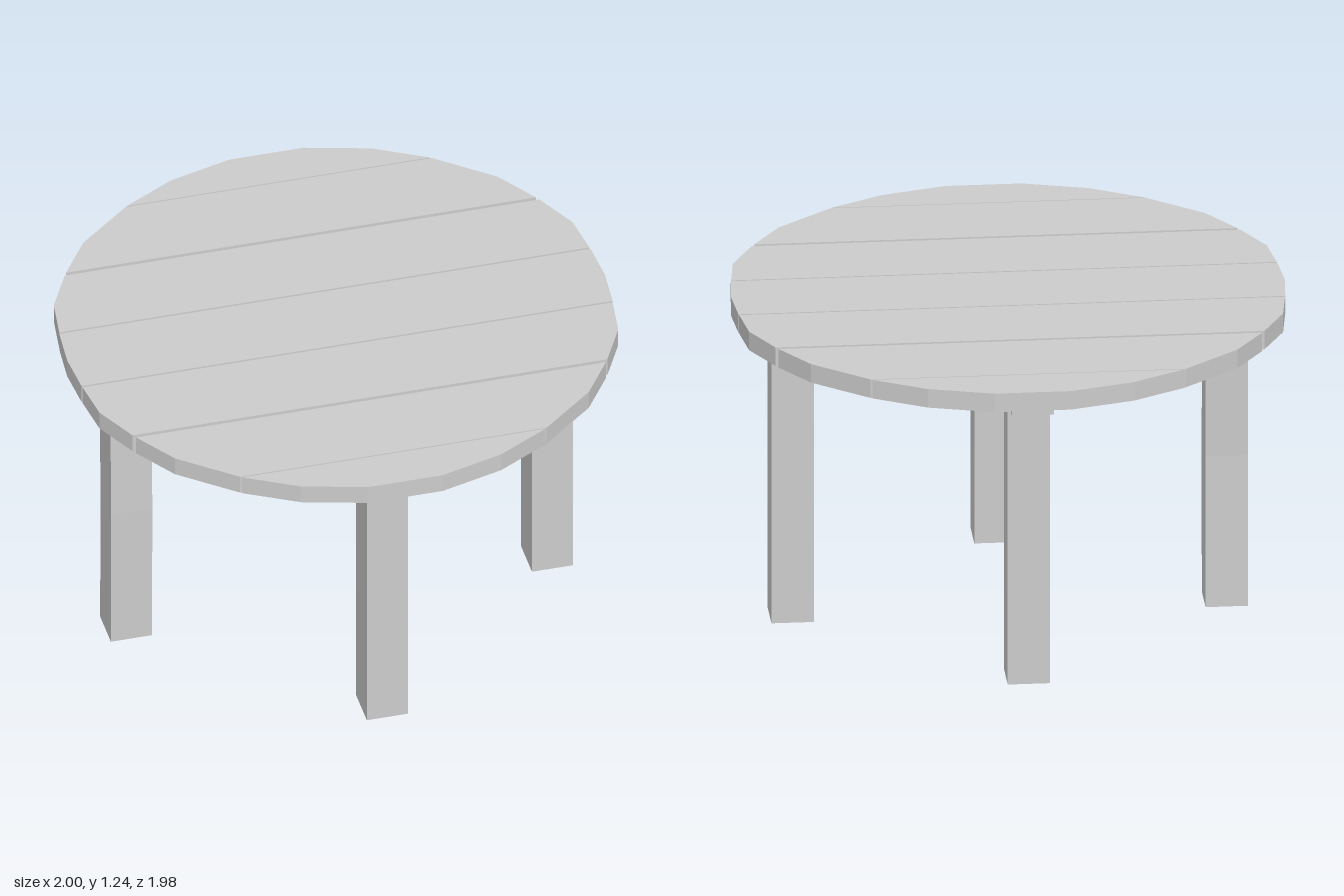
import * as THREE from 'three';

const material = new THREE.MeshStandardMaterial({ color: 0xcccccc, flatShading: true });
const TOP = 1.24, UNDER = 1.168, LEG = 0.153;

function add(parent, name, geometry, x = 0, y = 0, z = 0) {
  const mesh = new THREE.Mesh(geometry, material);
  mesh.name = name;
  mesh.position.set(x, y, z);
  parent.add(mesh);
  return mesh;
}

// Board from [halfWidth, z] stations running back to front
function plank(stations) {
  const right = stations.map(([w, z]) => new THREE.Vector2(w, -z));
  const left = stations.map(([w, z]) => new THREE.Vector2(-w, -z)).reverse();
  const shape = new THREE.Shape([...right, ...left]);
  const geometry = new THREE.ExtrudeGeometry(shape, { depth: TOP - UNDER, bevelEnabled: false });
  return geometry.rotateX(-Math.PI / 2);
}

export function createModel() {
  const table = new THREE.Group();
  table.name = 'roundTable';

  // Round top: seven boards with narrow gaps
  const top = new THREE.Group();
  top.name = 'tabletop';
  table.add(top);
  add(top, 'plankCentre', plank([[0.988, -0.158], [1, 0], [0.988, 0.158]]), 0, UNDER);
  const half = [
    ['Inner', [[0.986, 0.166], [0.965, 0.325], [0.883, 0.484]]],
    ['Outer', [[0.874, 0.499], [0.77, 0.653], [0.57, 0.817]]],
    ['End', [[0.564, 0.822], [0.372, 0.927], [0.138, 0.992]]],
  ];
  for (const [name, stations] of half) {
    add(top, `plank${name}Front`, plank(stations), 0, UNDER);
    const mirrored = stations.map(([w, z]) => [w, -z]).reverse();
    add(top, `plank${name}Back`, plank(mirrored), 0, UNDER);
  }

  // Batten under the boards, from front to back
  const battenBottom = 1.113;
  add(table, 'batten', new THREE.BoxGeometry(LEG, UNDER - battenBottom, 1.8),
    -0.01, (UNDER + battenBottom) / 2, 0);

  // Front and back legs meet the batten, side legs meet the boards
  const leg = (name, x, z, height) =>
    add(table, name, new THREE.BoxGeometry(LEG, height, LEG, 1, 2, 1), x, height / 2, z);
  leg('legFront', -0.01, 0.694, battenBottom);
  leg('legBack', -0.01, -0.654, battenBottom);
  leg('legLeft', 0.785, 0.002, UNDER);
  const bent = leg('legRight', -0.785, 0.002, UNDER);

  // The right leg is slightly bowed towards the front
  const p = bent.geometry.attributes.position;
  for (let i = 0; i < p.count; i++) {
    const t = p.getY(i) / UNDER;
    p.setZ(i, p.getZ(i) + (t < -0.1 ? 0.014 : t > 0.1 ? 0.002 : 0.019));
  }
  bent.geometry.computeVertexNormals();

  return table;
}
